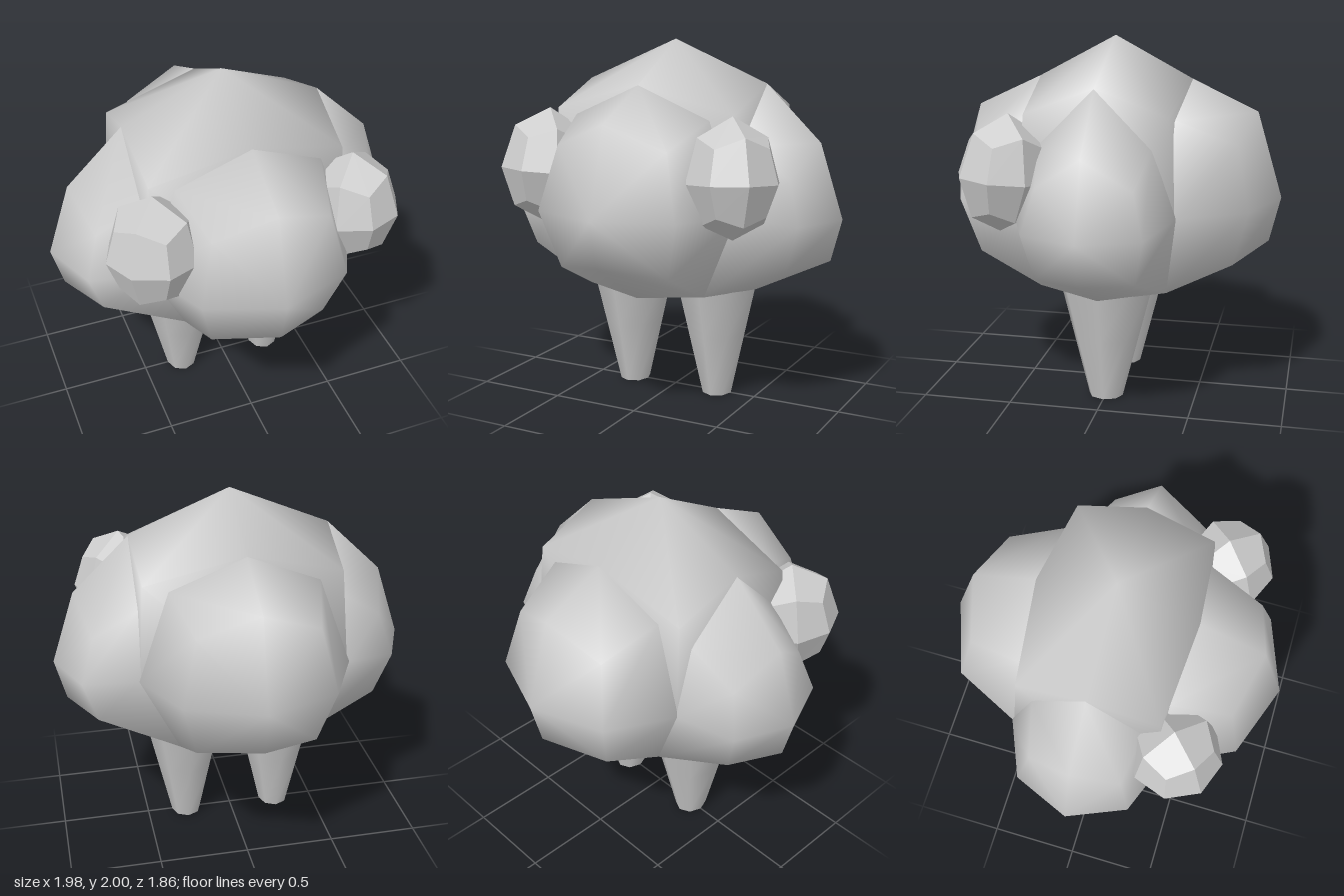
import * as THREE from 'three';

const smooth = new THREE.MeshStandardMaterial({ color: 0xcccccc, side: THREE.DoubleSide });
const faceted = new THREE.MeshStandardMaterial({ color: 0xcccccc, flatShading: true });

// Smooth skin from a tip through eight-sided rings to an end point.
// Each ring lists its top, upper side, side, lower side and bottom; the other half is mirrored.
function loft(tip, rings, end) {
  const pos = [...tip], idx = [];
  for (const half of rings) {
    const mirrored = half.slice(1, 4).reverse().map(([u, v, d]) => [-u, v, d]);
    for (const p of [...half, ...mirrored]) pos.push(...p);
  }
  pos.push(...end);
  const last = 1 + rings.length * 8;
  for (let i = 0; i < 8; i++) {
    const j = (i + 1) % 8;
    idx.push(0, 1 + j, 1 + i);
    for (let r = 0; r < rings.length - 1; r++) {
      const a = 1 + r * 8, b = a + 8;
      idx.push(a + i, a + j, b + i, a + j, b + j, b + i);
    }
    idx.push(last - 8 + i, last - 8 + j, last);
  }
  const g = new THREE.BufferGeometry();
  g.setAttribute('position', new THREE.Float32BufferAttribute(pos, 3));
  g.setIndex(idx);
  g.computeVertexNormals();
  return g;
}

export function createModel() {
  const model = new THREE.Group();
  const add = (name, geometry, material) => {
    const mesh = new THREE.Mesh(geometry, material);
    mesh.name = name;
    model.add(mesh);
    return mesh;
  };

  // Crown and inner core, lofted downwards from the peak
  const crown = loft([0, 0, 2], [
    [[0, 0.43, 1.77], [0.53, 0.38, 1.63], [0.55, 0, 1.77], [0.53, -0.38, 1.63], [0, -0.43, 1.77]],
    [[0, 0.43, 1.12], [0.56, 0.42, 1.12], [0.55, 0, 1.12], [0.56, -0.42, 1.12], [0, -0.43, 1.12]],
    [[0, 0.4, 0.65], [0.32, 0.32, 0.68], [0.42, 0, 0.65], [0.32, -0.32, 0.68], [0, -0.4, 0.65]],
  ], [0, 0, 0.65]);
  add('crown', crown, smooth).rotation.x = -Math.PI / 2;

  // Front and back lobes; neighbouring lobes share their side and lower corner points
  const wide = loft([0, 1.13, 0.93], [
    [[0, 1.6, 0.79], [0.32, 1.47, 0.71], [0.4, 1.13, 0.785], [0.32, 0.82, 0.7], [0, 0.88, 0.87]],
    [[0, 1.77, 0.43], [0.4, 1.6, 0.4], [0.57, 1.12, 0.43], [0.35, 0.65, 0.35], [0, 0.63, 0.46]],
    [[0, 1.6, 0.1], [0.35, 1.45, 0.1], [0.45, 1.12, 0.1], [0.28, 0.65, 0.1], [0, 0.63, 0.1]],
  ], [0, 1.1, 0.05]);
  add('frontLobe', wide, smooth);
  add('backLobe', wide, smooth).rotation.y = Math.PI;

  // Narrower lobes on the two sides
  const narrow = loft([0, 1.07, 0.99], [
    [[0, 1.47, 0.86], [0.25, 1.3, 0.79], [0.31, 1.07, 0.86], [0.26, 0.82, 0.78], [0, 0.84, 0.93]],
    [[0, 1.77, 0.55], [0.3, 1.47, 0.54], [0.43, 1.12, 0.57], [0.35, 0.65, 0.35], [0, 0.63, 0.5]],
    [[0, 1.6, 0.1], [0.28, 1.4, 0.1], [0.36, 1.12, 0.1], [0.28, 0.65, 0.1], [0, 0.63, 0.1]],
  ], [0, 1.1, 0.05]);
  add('leftLobe', narrow, smooth).rotation.y = Math.PI / 2;
  add('rightLobe', narrow, smooth).rotation.y = -Math.PI / 2;

  // Eye with 24 flat kite facets, narrowing towards its lower tip
  const eye = new THREE.BoxGeometry(2, 2, 2, 2, 2, 2);
  const p = eye.attributes.position, v = new THREE.Vector3();
  for (let i = 0; i < p.count; i++) {
    v.fromBufferAttribute(p, i);
    const corner = v.length() > 1.6;
    v.normalize().multiplyScalar(corner ? 0.948 : 1);
    v.divideScalar(1 - 0.08 * v.y);
    p.setXYZ(i, v.x * 0.25, v.y * 0.31, v.z * 0.25);
  }

  // Tapering leg, a little deeper than wide
  const leg = new THREE.CylinderGeometry(0.245, 0.085, 0.72, 8, 2);
  leg.scale(1, 1, 1.13);

  for (const [side, s] of [['left', 1], ['right', -1]]) {
    const e = add(side + 'Eye', eye, faceted);
    e.position.set(s * 0.56 + 0.01, 1.3, 0.48);
    e.rotation.set(-0.12, s * 0.75, s * 0.06);
    add(side + 'Leg', leg, smooth).position.set(s * 0.27, 0.36, 0);
  }
  return model;
}
